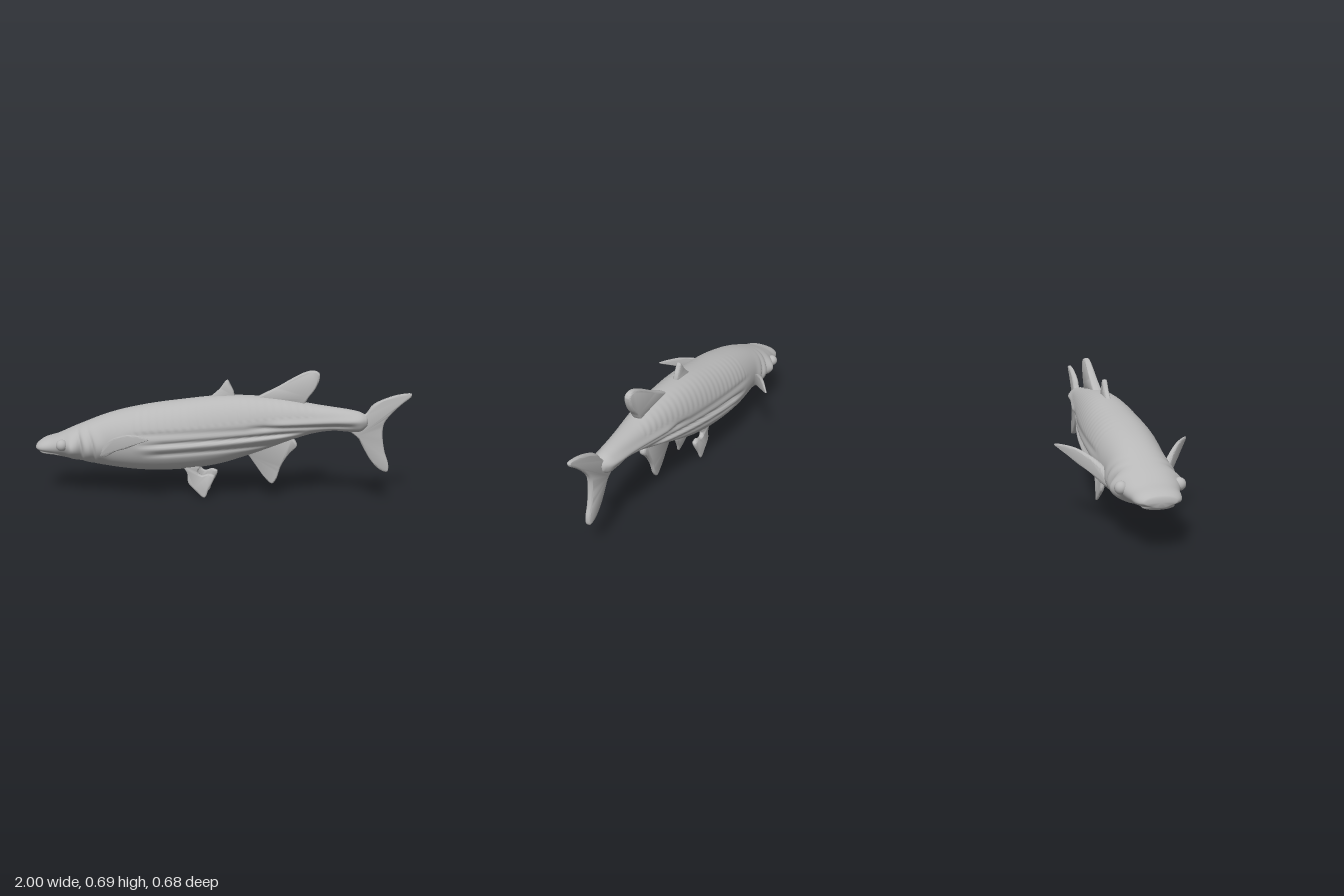
import * as THREE from 'three';
import { toCreasedNormals } from 'three/addons/utils/BufferGeometryUtils.js';

const skin = new THREE.MeshStandardMaterial({ color: 0xb8b8b8 });
skin.name = 'grey skin';

// Body stations: x, belly height, back height, half width
const stations = [
  [-1, 0.228, 0.272, 0.07], [-0.98, 0.213, 0.287, 0.095], [-0.9, 0.2, 0.315, 0.116],
  [-0.8, 0.185, 0.36, 0.135], [-0.6, 0.15, 0.44, 0.15], [-0.4, 0.135, 0.49, 0.167],
  [-0.2, 0.145, 0.522, 0.164], [0, 0.18, 0.547, 0.15], [0.15, 0.23, 0.551, 0.133],
  [0.3, 0.288, 0.542, 0.112], [0.4, 0.328, 0.53, 0.097], [0.5, 0.36, 0.513, 0.08],
  [0.6, 0.376, 0.5, 0.065], [0.7, 0.372, 0.486, 0.056], [0.745, 0.376, 0.474, 0.048],
  [0.775, 0.4, 0.455, 0.026],
];

// Long folds on the flanks: x0, y0, x1, y1, width, height (negative is a groove)
const folds = [
  [-0.42, 0.293, 0.46, 0.377, 0.01, -0.016], [-0.45, 0.27, 0.5, 0.362, 0.018, 0.009],
  [-0.4, 0.24, 0.36, 0.31, 0.012, -0.01], [-0.5, 0.345, 0.3, 0.4, 0.014, -0.006],
  [0.25, 0.415, 0.8, 0.44, 0.02, 0.011], [0.15, 0.4, 0.72, 0.408, 0.011, -0.01],
  [-1.06, 0.24, -0.84, 0.213, 0.008, -0.018],
];

// Head swellings and gill slits: x, y, x size, y size, height
const bumps = [
  [-0.77, 0.255, 0.032, 0.065, 0.034], [-0.69, 0.25, 0.03, 0.085, 0.022],
  [-0.725, 0.26, 0.01, 0.09, -0.014], [-0.63, 0.26, 0.035, 0.08, 0.014],
  [-0.655, 0.25, 0.009, 0.09, -0.012], [-0.835, 0.28, 0.045, 0.04, 0.01],
];

function relief(x, y) {
  let d = 0;
  for (const [x0, y0, x1, y1, s, a] of folds) {
    const u = (x - x0) / (x1 - x0);
    if (u <= 0 || u >= 1) continue;
    const fade = Math.min(1, u * 6, (1 - u) * 6);
    d += a * fade * Math.exp(-(((y - y0 - (y1 - y0) * u) / s) ** 2));
  }
  for (const [bx, by, sx, sy, a] of bumps) {
    // Swellings lean back along the curve of the gill cover
    const lean = x - bx + 3 * (y - by) ** 2;
    d += a * Math.exp(-((lean / sx) ** 2) - ((y - by) / sy) ** 2);
  }
  return d;
}

function bodyGeometry() {
  const rings = 220, sides = 120, pos = [], index = [];
  const profile = new THREE.CubicInterpolant(
    stations.map((s) => s[0]), stations.flatMap((s) => s.slice(1)), 3);
  for (let i = 0; i <= rings; i++) {
    const x = -1 + (1.775 * i) / rings;
    const [low, high, w] = profile.evaluate(x);
    const mid = (low + high) / 2, h = (high - low) / 2;
    for (let j = 0; j < sides; j++) {
      const t = (j / sides) * Math.PI * 2, c = Math.cos(t), s = Math.sin(t);
      const y = mid + h * s;
      const side = Math.sign(c) * Math.pow(Math.abs(c), 0.92);
      // Faint scale rows on the upper back
      const scales = x > -0.45 && x < 0.5 && s > 0.3 ? 0.0012 * Math.sin(x * 150 + s * 5) : 0;
      const z = side * w + (relief(x, y) + scales) * Math.sign(c) * Math.min(1, Math.abs(c) * 2);
      pos.push(x, y, z);
    }
  }
  for (let i = 0; i < rings; i++) {
    for (let j = 0; j < sides; j++) {
      const k = (j + 1) % sides;
      const a = i * sides + j, b = i * sides + k, c = a + sides, d = b + sides;
      index.push(a, c, b, b, c, d);
    }
  }
  // Rounded ends
  const nose = pos.length / 3, end = nose + 1, last = rings * sides;
  pos.push(-1.0, 0.25, 0, 0.785, 0.428, 0);
  for (let j = 0; j < sides; j++) {
    const k = (j + 1) % sides;
    index.push(nose, j, k, end, last + k, last + j);
  }
  const g = new THREE.BufferGeometry();
  g.setAttribute('position', new THREE.Float32BufferAttribute(pos, 3));
  g.setIndex(index);
  g.computeVertexNormals();
  return g;
}

// Thin fin with soft edges; place(x, y, z) gives the final z
function fin(name, outline, half, place = (x, y, z) => z) {
  const curve = new THREE.CatmullRomCurve3(
    outline.map(([x, y]) => new THREE.Vector3(x, y, 0)), true, 'centripetal');
  const pts = curve.getPoints(72).slice(0, -1).map((p) => new THREE.Vector2(p.x, p.y));
  const bevel = half * 0.8;
  const g = new THREE.ExtrudeGeometry(new THREE.Shape(pts), {
    depth: (half - bevel) * 2, bevelEnabled: true, bevelThickness: bevel,
    bevelSize: 0.008, bevelOffset: -0.008, bevelSegments: 4,
  });
  g.translate(0, 0, bevel - half);
  const p = g.attributes.position;
  for (let i = 0; i < p.count; i++) p.setZ(i, place(p.getX(i), p.getY(i), p.getZ(i)));
  const mesh = new THREE.Mesh(toCreasedNormals(g, 1.0), skin);
  mesh.name = name;
  return mesh;
}

export function createModel() {
  const fish = new THREE.Group();
  fish.name = 'fish';

  const body = new THREE.Mesh(bodyGeometry(), skin);
  body.name = 'body';
  fish.add(body);

  // Fins on the centre line
  fish.add(fin('tailFin', [
    [0.7, 0.46], [0.76, 0.465], [0.8, 0.517], [0.86, 0.55], [0.93, 0.574], [0.995, 0.58],
    [0.995, 0.565], [0.95, 0.525], [0.9, 0.475], [0.862, 0.42], [0.856, 0.36], [0.87, 0.27],
    [0.892, 0.2], [0.887, 0.163], [0.85, 0.172], [0.8, 0.22], [0.76, 0.285], [0.73, 0.34],
    [0.68, 0.385],
  ], 0.021, (x, y, z) => z * (1 - 1.7 * (x - 0.7))));
  fish.add(fin('frontDorsalFin', [
    [-0.06, 0.53], [-0.035, 0.553], [0, 0.585], [0.04, 0.632], [0.058, 0.605], [0.075, 0.57],
    [0.075, 0.53],
  ], 0.014));
  fish.add(fin('rearDorsalFin', [
    [0.19, 0.535], [0.22, 0.557], [0.3, 0.598], [0.38, 0.646], [0.45, 0.682], [0.495, 0.69],
    [0.523, 0.675], [0.522, 0.64], [0.5, 0.59], [0.47, 0.55], [0.44, 0.51], [0.3, 0.52],
  ], 0.025, (x, y, z) => z * (1 - 2.5 * Math.max(0, y - 0.55))));
  fish.add(fin('analFin', [
    [0.13, 0.26], [0.16, 0.222], [0.2, 0.165], [0.24, 0.11], [0.282, 0.075], [0.305, 0.1],
    [0.33, 0.175], [0.37, 0.24], [0.412, 0.288], [0.4, 0.318], [0.35, 0.34], [0.25, 0.31],
  ], 0.016, (x, y, z) => z * (0.6 + 2 * (y - 0.07))));

  // Paired fins and eyes
  for (const side of [1, -1]) {
    const label = side > 0 ? 'left' : 'right';
    fish.add(fin(label + 'PelvicFin', [
      [-0.19, 0.17], [-0.168, 0.13], [-0.162, 0.08], [-0.13, 0.045], [-0.073, 0.002],
      [-0.052, 0.045], [-0.02, 0.12], [-0.05, 0.132], [-0.09, 0.122], [-0.11, 0.14], [-0.1, 0.17],
    ], 0.015, (x, y, z) => side * (0.053 + 0.125 * (0.15 - y)) + z * (0.4 + 4 * y)));
    fish.add(fin(label + 'PectoralFin', [
      [-0.63, 0.23], [-0.6, 0.285], [-0.56, 0.325], [-0.51, 0.352], [-0.42, 0.379],
      [-0.312, 0.375], [-0.38, 0.34], [-0.45, 0.303], [-0.52, 0.274], [-0.59, 0.232],
    ], 0.016, (x, y, z) => side * (0.34 + 0.68 * (x + 0.31)) + z * (0.4 - 2.5 * (x + 0.31))));

    const eye = new THREE.Mesh(new THREE.SphereGeometry(0.031, 28, 20), skin);
    eye.name = label + 'Eye';
    eye.position.set(-0.832, 0.28, side * 0.135);
    fish.add(eye);
  }
  return fish;
}
